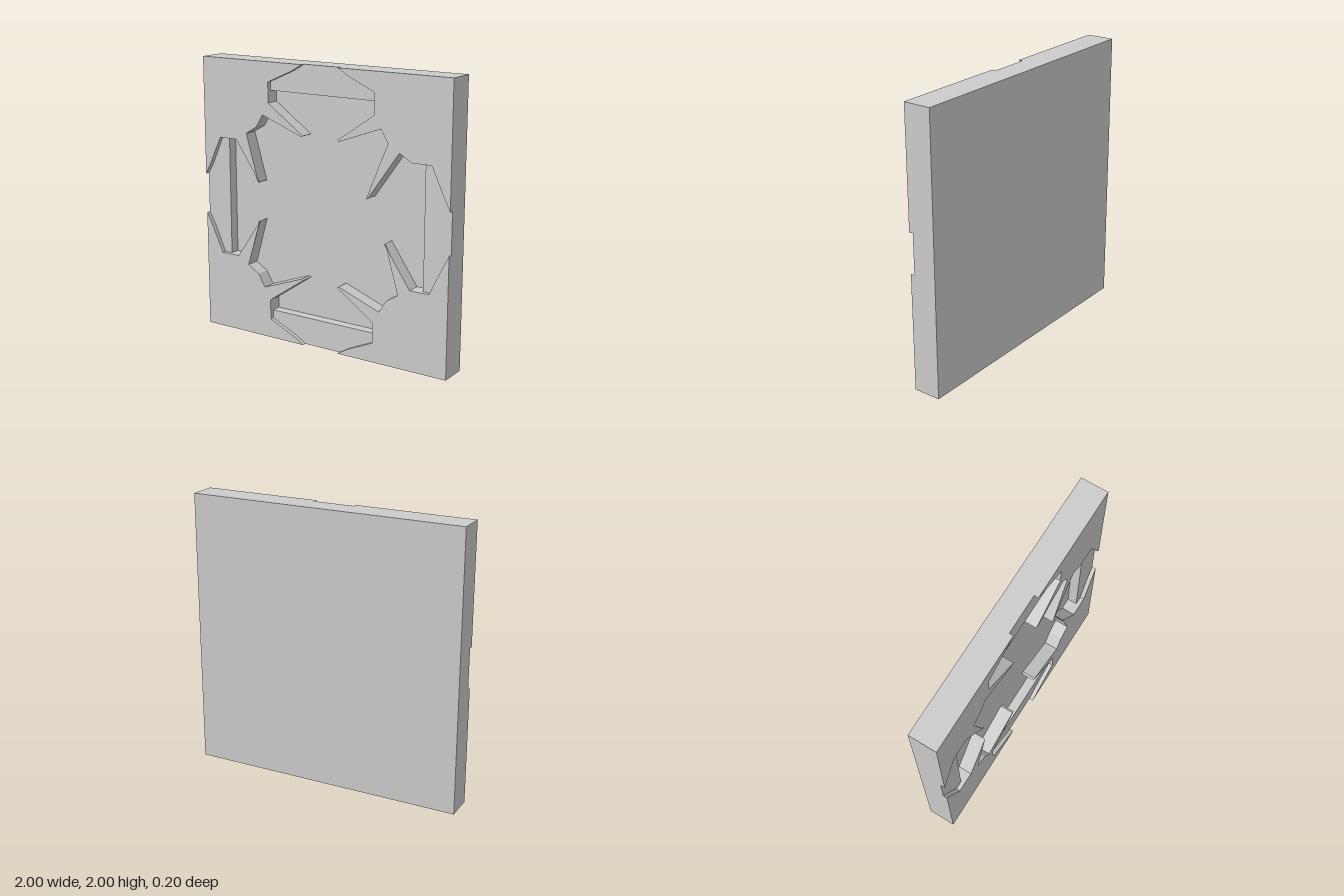
import * as THREE from 'three';

const material = new THREE.MeshStandardMaterial({ color: 0xcccccc, flatShading: true });

// Extrudes an outline (given around the panel centre) from z0 to z1
function slab(name, points, z0, z1) {
  const shape = new THREE.Shape(points.map(([x, y]) => new THREE.Vector2(x, y)));
  const geometry = new THREE.ExtrudeGeometry(shape, { depth: z1 - z0, bevelEnabled: false });
  geometry.translate(0, 0, z0);
  const mesh = new THREE.Mesh(geometry, material);
  mesh.name = name;
  return mesh;
}

export function createModel() {
  const model = new THREE.Group();
  model.name = 'recessedPanel';
  const panel = new THREE.Group();
  panel.name = 'panel';
  panel.position.y = 1;
  model.add(panel);

  const floorZ = 0, ledgeZ = 0.07, frontZ = 0.1;

  // Backing plate, whose front is the floor of the deep recess
  const back = new THREE.Mesh(new THREE.BoxGeometry(2, 2, 0.1), material);
  back.name = 'backPlate';
  back.position.z = -0.05;
  panel.add(back);

  // Raised corners: outline from the top edge round to the side edge
  const start = [[1, 1], [0.145, 1], [0.23, 0.95], [0.43, 0.86], [0.43, 0.715],
    [0.14, 0.515], [0.155, 0.508], [0.48, 0.627], [0.535, 0.537]];
  const end = [[0.715, 0.43], [0.86, 0.43], [0.955, 0.23], [1, 0.145]];
  const toothed = [[0.625, 0.483], [0.525, 0.142], [0.515, 0.142]];
  const spiked = [[0.37, 0.142], [0.382, 0.148], [0.62, 0.483]];

  for (const sx of [-1, 1]) {
    for (const sy of [-1, 1]) {
      const middle = sx > 0 && sy > 0 ? spiked : toothed;
      const outline = [...start, ...middle, ...end].map(([x, y]) => [x * sx, y * sy]);
      panel.add(slab('raisedCorner', outline, floorZ, frontZ));
    }
  }

  // Shallow ledges between the corners, one per edge
  const half = [[0.145, 1], [0.23, 0.95], [0.43, 0.86], [0.43, 0.8]];
  const ledge = [...half, ...half.map(([x, y]) => [-x, y]).reverse()];
  for (let i = 0; i < 4; i++) {
    const mesh = slab('edgeLedge', ledge, floorZ, ledgeZ);
    mesh.rotation.z = i * Math.PI / 2;
    panel.add(mesh);
  }

  return model;
}
